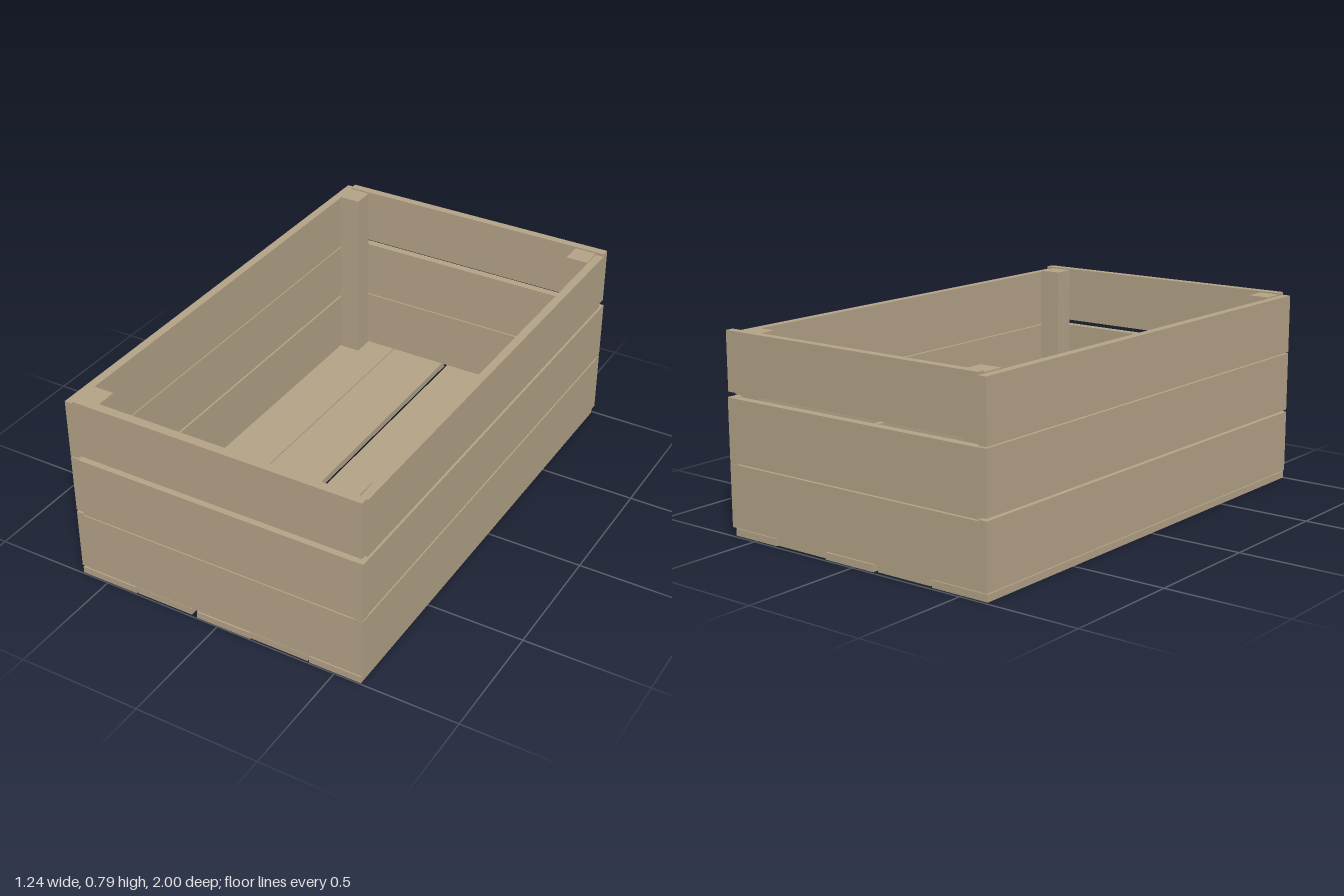
import * as THREE from 'three';

export function createModel() {
  const crate = new THREE.Group();
  crate.name = 'crate';
  const wood = new THREE.MeshStandardMaterial({ color: 0xb3a286 });
  wood.name = 'wood';

  // A plank given by its limits on each axis
  function plank(name, [x0, x1], [y0, y1], [z0, z1]) {
    const mesh = new THREE.Mesh(new THREE.BoxGeometry(x1 - x0, y1 - y0, z1 - z0), wood);
    mesh.position.set((x0 + x1) / 2, (y0 + y1) / 2, (z0 + z1) / 2);
    mesh.name = name;
    crate.add(mesh);
  }

  // Floor slats, laid slightly unevenly
  [
    [-0.615, -0.367, 0.003],
    [-0.36, -0.115, 0.007],
    [-0.092, 0.141, 0.002],
    [0.141, 0.388, 0.007],
    [0.393, 0.608, 0.003],
  ].forEach(([x0, x1, y], i) =>
    plank(`floorSlat${i + 1}`, [x0, x1], [y, y + 0.028], [-0.99, 0.996]));

  // Front and back end boards
  [[0.038, 0.286, 0.614], [0.291, 0.54, 0.614], [0.563, 0.795, 0.611]].forEach(([y0, y1, x1], i) => {
    plank(`frontBoard${i + 1}`, [-0.585, x1], [y0, y1], [0.96, 0.997]);
    plank(`backBoard${i + 1}`, [-0.585, x1], [y0, y1], [-1, -0.966]);
  });

  // Long side boards; the top right one fits between the ends
  [[0.037, 0.291], [0.3, 0.541], [0.546, 0.784]].forEach((y, i) => {
    plank(`rightBoard${i + 1}`, [-0.62, -0.586], y, [-0.999, 0.994]);
    const top = i === 2;
    plank(`leftBoard${i + 1}`, top ? [0.577, 0.611] : [0.58, 0.617], y,
      top ? [-0.965, 0.959] : [-0.998, 0.995]);
  });

  // Corner posts
  for (const x of [[-0.586, -0.497], [0.486, 0.577]]) {
    for (const z of [[-0.966, -0.876], [0.87, 0.96]]) {
      plank('cornerPost', x, [0.034, 0.789], z);
    }
  }
  return crate;
}
